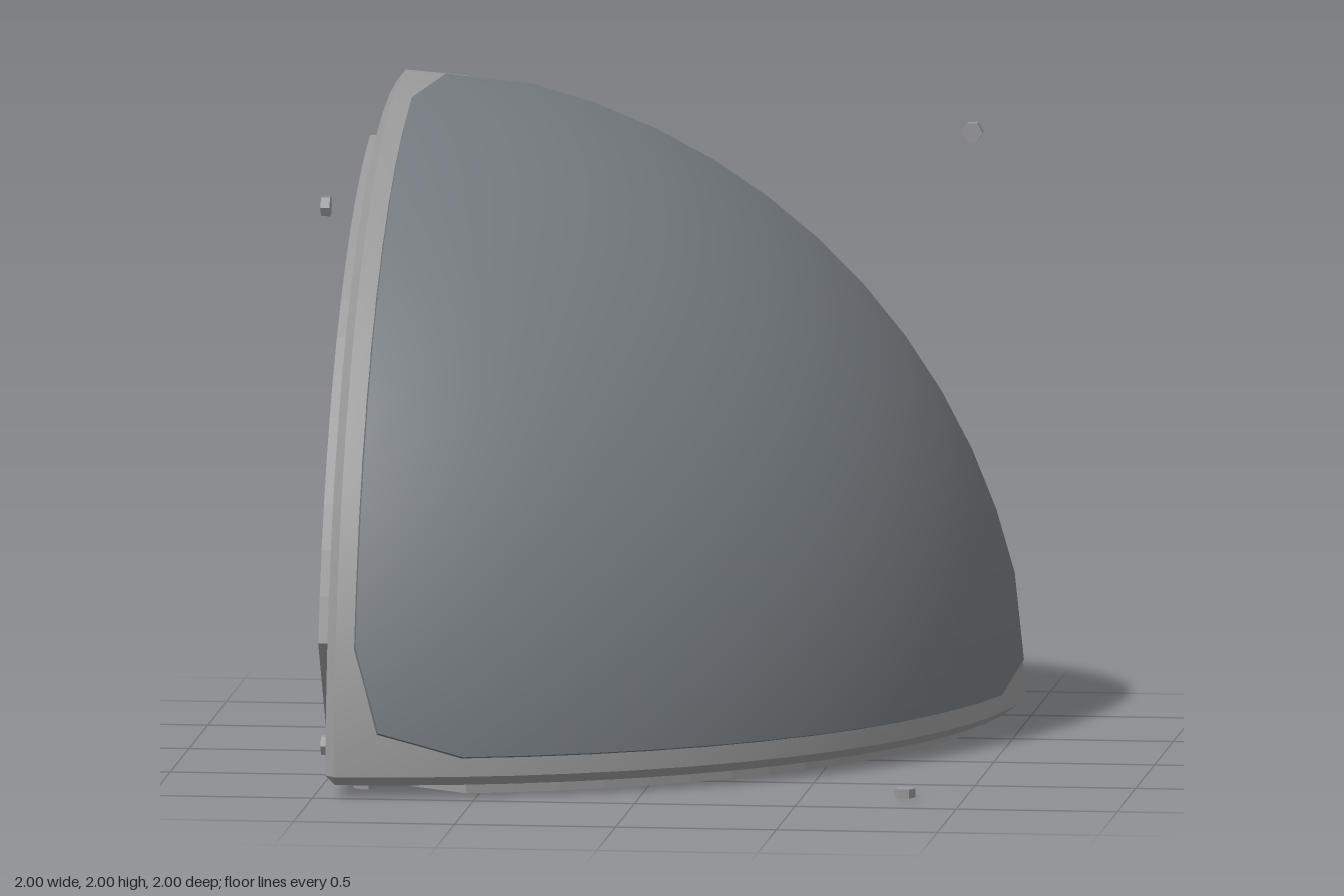
import * as THREE from 'three';
import { toCreasedNormals } from 'three/addons/utils/BufferGeometryUtils.js';

const frameGrey = new THREE.MeshStandardMaterial({ color: 0x999999 });
frameGrey.name = 'frame grey';
const panelGrey = new THREE.MeshStandardMaterial({ color: 0x747a7f });
panelGrey.name = 'panel blue grey';

const V = (x, y, z) => new THREE.Vector3(x, y, z);

function mesh(name, geometry, material) {
  const m = new THREE.Mesh(geometry, material);
  m.name = name;
  return m;
}

// Arc of radius r around the corner, both ends stopping `stop` away from the axes
function arc(r, stop, n) {
  const t0 = Math.asin(stop / r), t1 = Math.PI / 2 - t0;
  return Array.from({ length: n + 1 }, (_, i) => {
    const t = t0 + (t1 - t0) * i / n;
    return [r * Math.cos(t), r * Math.sin(t)];
  });
}

// Three-sided outline on a sphere, inset from the flat sides; `cut` trims the tips
function outline(R, inset, stop, cut, n) {
  const pts = [];
  for (let k = 0; k < 3; k++) {
    const side = arc(Math.sqrt(R * R - inset * inset), stop, n).map(([a, b]) => V(inset, a, b));
    if (cut) side.push(V(cut, cut, Math.sqrt(R * R - 2 * cut * cut)));
    else side.pop();
    for (const p of side) {
      for (let j = 0; j < k; j++) p.set(p.z, p.x, p.y);
      pts.push(p);
    }
  }
  return pts;
}

// Spherical surface filling an outline with concentric rings
function cap(loop, R, rings) {
  const n = loop.length, pos = [], nor = [], index = [];
  const mid = V(1, 1, 1).setLength(R);
  for (let k = 0; k <= rings; k++) {
    for (const b of loop) {
      const p = mid.clone().lerp(b, k / rings).setLength(R);
      pos.push(p.x, p.y, p.z);
      nor.push(p.x / R, p.y / R, p.z / R);
    }
  }
  for (let k = 0; k < rings; k++) {
    for (let i = 0; i < n; i++) {
      const j = (i + 1) % n, a = k * n + i, b = k * n + j;
      index.push(a, a + n, b + n);
      if (k > 0) index.push(a, b + n, b);
    }
  }
  const g = new THREE.BufferGeometry();
  g.setAttribute('position', new THREE.Float32BufferAttribute(pos, 3));
  g.setAttribute('normal', new THREE.Float32BufferAttribute(nor, 3));
  g.setIndex(index);
  return g;
}

// Closed band between two loops, optionally filling the first loop with a flat fan
function band(A, B, fill) {
  const tris = [], n = A.length;
  const add = (a, b, c) => {
    const area = b.clone().sub(a).cross(c.clone().sub(a)).length();
    if (area > 1e-8) for (const p of [a, b, c]) tris.push(p.x, p.y, p.z);
  };
  for (let i = 0; i < n; i++) {
    const j = (i + 1) % n;
    add(A[i], B[i], B[j]);
    add(A[i], B[j], A[j]);
    if (fill && i > 0 && j > 0) add(A[0], A[i], A[j]);
  }
  const g = new THREE.BufferGeometry();
  g.setAttribute('position', new THREE.Float32BufferAttribute(tris, 3));
  return toCreasedNormals(g, 0.5);
}

const FRAME_R = 1.993, DOME_R = 2.022, N = 16;
const FACE = 0.035, EDGE = 0.065;

// Flat side of the frame with its chamfers, raised panel and bolts (lying downward)
function flatSide(boltTurn) {
  const side = new THREE.Group();

  const faceArc = arc(1.955, EDGE, N);
  const rimArc = arc(Math.sqrt(FRAME_R ** 2 - EDGE ** 2), EDGE, N);
  const end = faceArc[0][0];
  const A = [[EDGE, EDGE], [end, EDGE], ...faceArc, [EDGE, end]].map(([x, z]) => V(x, FACE, z));
  const B = [V(0.055, 0.055, 0.055), V(end, 0.05, 0.05),
    ...rimArc.map(([x, z]) => V(x, EDGE, z)), V(0.05, 0.05, end)];
  side.add(mesh('frameSide', band(A, B, true), frameGrey));

  // raised panel with trimmed corners and a curved outer edge
  const shape = new THREE.Shape([
    [0.12, 0.38], [0.38, 0.12], [1.6, 0.12], ...arc(1.9, 0.46, 14), [0.12, 1.6],
  ].map(([x, y]) => new THREE.Vector2(x, y)));
  const panel = new THREE.ExtrudeGeometry(shape, { depth: FACE, bevelEnabled: false });
  panel.rotateX(Math.PI / 2).translate(0, FACE, 0);
  side.add(mesh('sidePanel', panel, [panelGrey, frameGrey]));

  // hexagonal bolts on a square pattern, the outermost standing free
  for (const x of [0.14, 1.82]) {
    for (const z of [0.14, 1.82]) {
      const bolt = new THREE.CylinderGeometry(0.033, 0.033, 0.028, 6);
      bolt.rotateY(Math.PI / 2 + boltTurn).translate(x, 0.022, z);
      side.add(mesh('bolt', toCreasedNormals(bolt, 0.5), frameGrey));
    }
  }
  return side;
}

export function createModel() {
  const model = new THREE.Group();
  model.name = 'sphereOctant';

  // three identical flat sides turned around the diagonal
  const diagonal = V(1, 1, 1).normalize();
  ['bottomSide', 'backSide', 'rightSide'].forEach((name, i) => {
    const side = flatSide(i === 1 ? Math.PI / 6 : 0);
    side.name = name;
    side.quaternion.setFromAxisAngle(diagonal, i * Math.PI * 2 / 3);
    model.add(side);
  });

  // curved frame surface below the dome
  model.add(mesh('frameRim', cap(outline(FRAME_R, EDGE, EDGE, 0, N), FRAME_R, 14), frameGrey));

  // dome panel and its bevelled edge
  const top = outline(DOME_R, 0.13, 0.465, 0.205, 11);
  const base = outline(1.985, 0.12, 0.455, 0.195, 11);
  model.add(mesh('domePanel', cap(top, DOME_R, 12), panelGrey));
  model.add(mesh('domeEdge', band(top, base, false), panelGrey));

  // the corner of the block sits at the origin until here
  for (const part of model.children) part.position.set(-1, 0, -1);
  return model;
}
